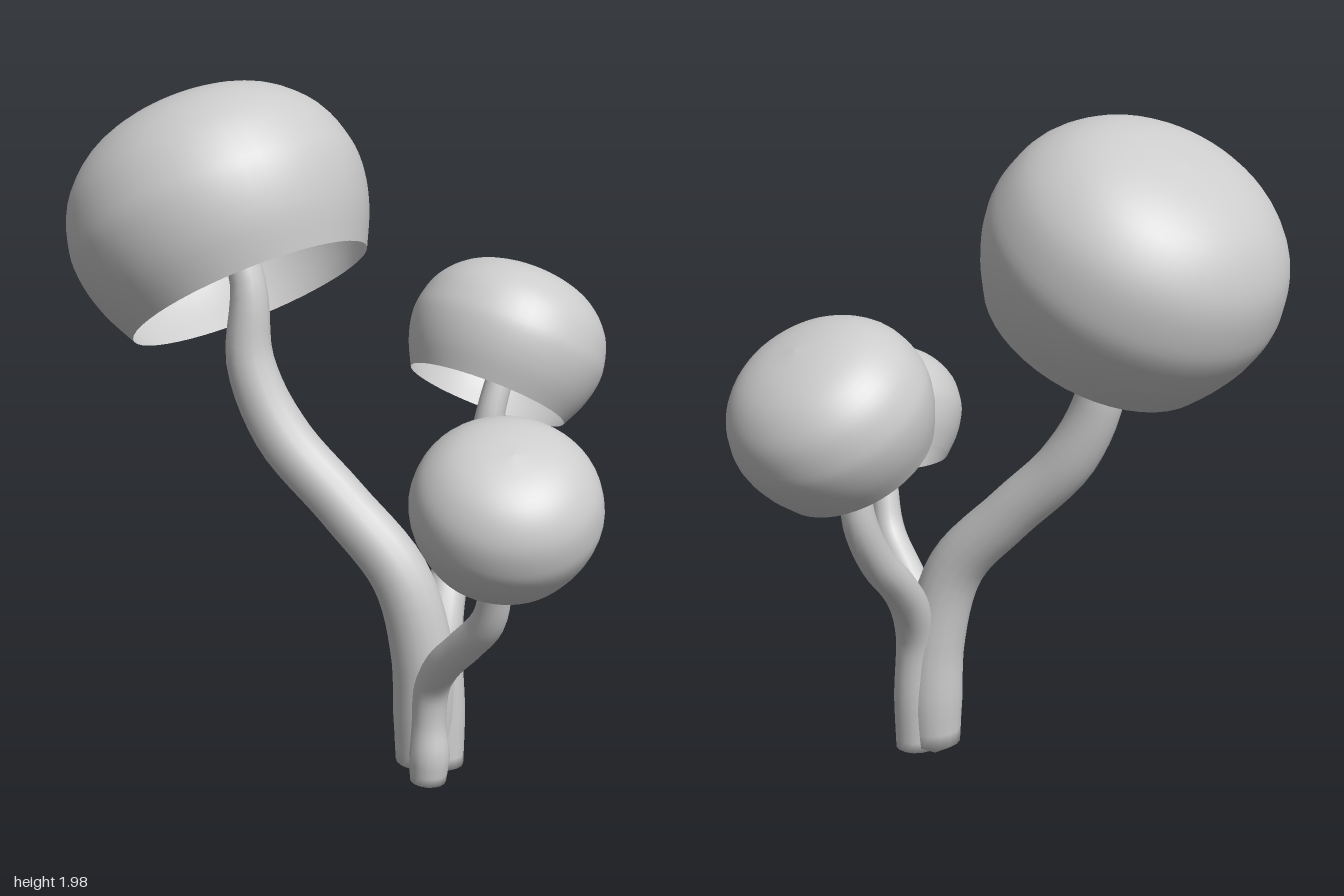
import * as THREE from 'three';

const material = new THREE.MeshStandardMaterial({ color: 0xcccccc, side: THREE.DoubleSide });

// Tapered tube through [x, y, z, radius] stations, closed at the foot
function makeStem(stations) {
  const curve = new THREE.CatmullRomCurve3(stations.map(([x, y, z]) => new THREE.Vector3(x, y, z)));
  const rings = 48, sides = 16;
  const geometry = new THREE.TubeGeometry(curve, rings, 1, sides);
  const pos = geometry.attributes.position;
  const v = new THREE.Vector3();
  for (let i = 0; i <= rings; i++) {
    const centre = curve.getPointAt(i / rings);
    const t = curve.getUtoTmapping(i / rings) * (stations.length - 1);
    const k = Math.min(Math.floor(t), stations.length - 2);
    const radius = THREE.MathUtils.lerp(stations[k][3], stations[k + 1][3], t - k);
    for (let j = 0; j <= sides; j++) {
      const n = i * (sides + 1) + j;
      v.fromBufferAttribute(pos, n).sub(centre).multiplyScalar(radius).add(centre);
      pos.setXYZ(n, v.x, v.y, v.z);
    }
  }
  geometry.computeVertexNormals();
  // Weld the normals along the tube's seam
  const nor = geometry.attributes.normal;
  for (let i = 0; i <= rings; i++) {
    const a = i * (sides + 1), b = a + sides;
    v.fromBufferAttribute(nor, a).add(new THREE.Vector3().fromBufferAttribute(nor, b)).normalize();
    nor.setXYZ(a, v.x, v.y, v.z);
    nor.setXYZ(b, v.x, v.y, v.z);
  }
  const stem = new THREE.Mesh(geometry, material);
  stem.name = 'stem';
  return stem;
}

// Hollow dome, widest above its open rim
const capProfile = new THREE.SplineCurve([
  [0.35, 0], [0.398, 0.1], [0.425, 0.2], [0.425, 0.29], [0.385, 0.41],
  [0.29, 0.51], [0.16, 0.565], [0.0001, 0.585],
].map(([r, y]) => new THREE.Vector2(r, y))).getPoints(28);
const capGeometry = new THREE.LatheGeometry(capProfile, 48);

// A mushroom: cap leaning outward along (dx, dz), stem running up into the cap
function makeMushroom({ name, rim, lean: [dx, dz], scale, stem }) {
  const group = new THREE.Group();
  group.name = name;
  const axis = new THREE.Vector3(dx * 0.5 - dz * 0.15, 0.85, dz * 0.5 + dx * 0.15).normalize();
  const cap = new THREE.Mesh(capGeometry, material);
  cap.name = 'cap';
  cap.position.set(...rim);
  cap.scale.setScalar(scale);
  cap.quaternion.setFromUnitVectors(new THREE.Vector3(0, 1, 0), axis);
  const end = cap.position.clone().addScaledVector(axis, 0.57 * scale);
  const topRadius = stem[stem.length - 1][3];
  group.add(cap, makeStem([...stem, [end.x, end.y, end.z, topRadius * 0.8]]));
  return group;
}

export function createModel() {
  const model = new THREE.Group();
  model.name = 'mushroomCluster';
  model.add(
    makeMushroom({
      name: 'largeMushroom', rim: [-0.29, 1.4, 0.19], lean: [-1, 0], scale: 1,
      stem: [
        [0.2, 0.01, 0.09, 0], [0.2, 0.03, 0.09, 0.075], [0.205, 0.2, 0.09, 0.09], [0.2, 0.4, 0.1, 0.09],
        [0.14, 0.62, 0.12, 0.085], [-0.03, 0.81, 0.14, 0.08], [-0.21, 1.0, 0.165, 0.08],
        [-0.3, 1.2, 0.18, 0.07], [-0.315, 1.45, 0.17, 0.05],
      ],
    }),
    makeMushroom({
      name: 'mediumMushroom', rim: [0.225, 1.06, -0.28], lean: [0, -1], scale: 0.68,
      stem: [
        [0.245, 0.01, 0.06, 0], [0.245, 0.03, 0.06, 0.065], [0.245, 0.2, 0.05, 0.065],
        [0.235, 0.4, 0.04, 0.06], [0.22, 0.52, -0.015, 0.058], [0.21, 0.62, -0.1, 0.055],
        [0.21, 0.72, -0.2, 0.053], [0.215, 0.85, -0.275, 0.05], [0.23, 1.02, -0.305, 0.042],
      ],
    }),
    makeMushroom({
      name: 'smallMushroom', rim: [0.545, 0.845, 0.34], lean: [0.75, 0.66], scale: 0.59,
      stem: [
        [0.27, 0.025, 0.2, 0], [0.27, 0.04, 0.2, 0.05], [0.275, 0.13, 0.2, 0.058], [0.27, 0.22, 0.195, 0.048],
        [0.28, 0.33, 0.2, 0.05], [0.33, 0.42, 0.235, 0.05], [0.415, 0.51, 0.275, 0.05],
        [0.5, 0.61, 0.315, 0.048], [0.54, 0.75, 0.35, 0.042],
      ],
    }),
  );
  return model;
}
